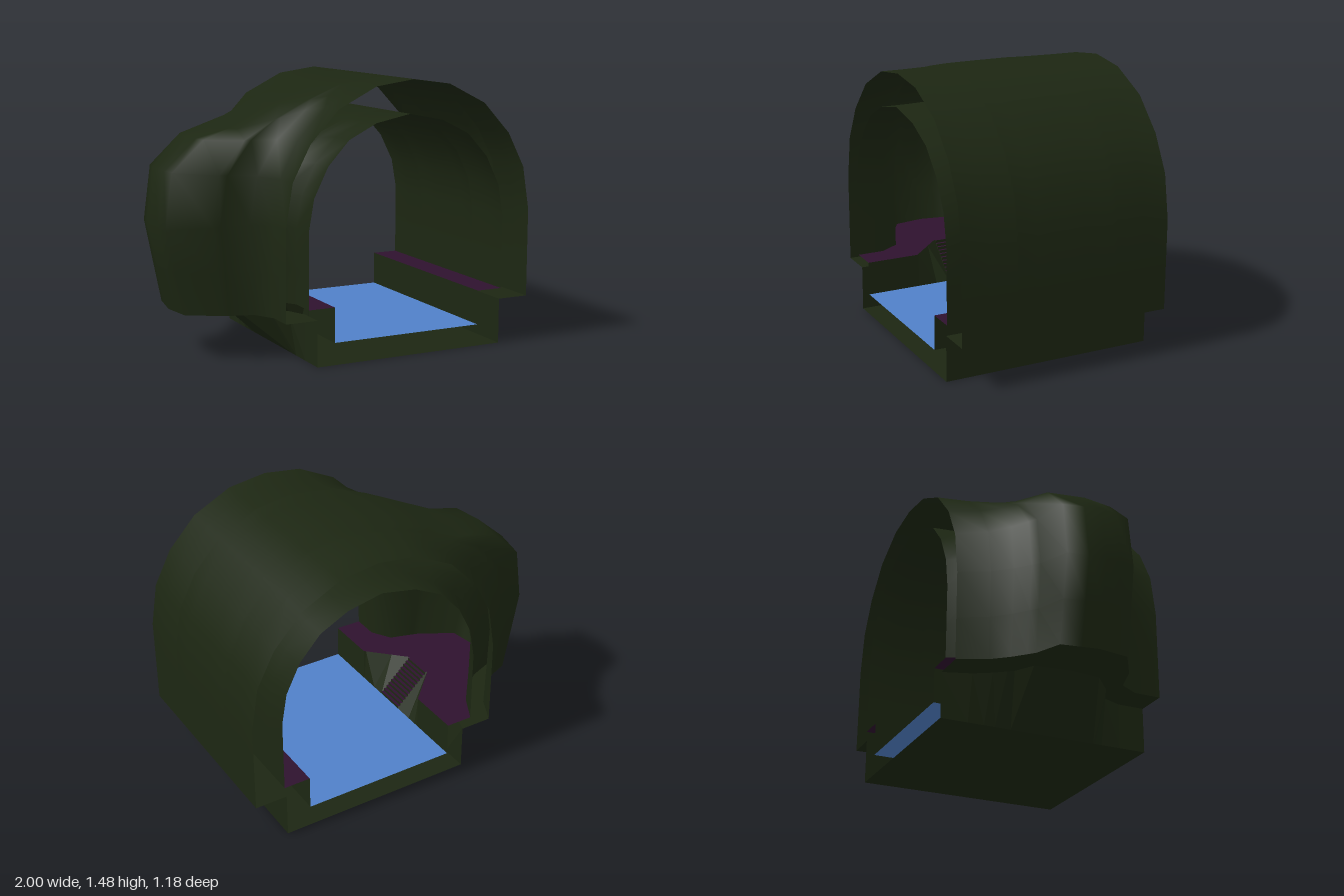
import * as THREE from 'three';

const mat = (color) => new THREE.MeshStandardMaterial({ color, side: THREE.DoubleSide });

// Alcove depth along the tunnel: [z, weight]
const BULGE = [[-0.59, 0], [-0.44, 0.17], [-0.35, 0.35], [-0.26, 0.58], [-0.2, 0.92], [0, 1],
  [0.17, 0.94], [0.28, 0.52], [0.33, 0.15], [0.44, 0], [0.59, 0]];
// How far the channel bank is cut back for the stairs
const CUT = [[-0.59, 0], [-0.29, 0], [-0.09, 1], [0.09, 1], [0.29, 0], [0.59, 0]];
const STATIONS = [...new Set([...BULGE, ...CUT].map((p) => p[0]))].sort((a, b) => a - b);

// Half profiles from wall foot to crown: plain tunnel, and at the alcove centre
const OUTER = {
  centre: 0.26,
  plain: [[-0.48, 0.25], [-0.48, 0.48], [-0.48, 0.74], [-0.44, 0.98], [-0.34, 1.17],
    [-0.18, 1.34], [-0.07, 1.395], [0.04, 1.45], [0.26, 1.48]],
  alcove: [[-0.9, 0.25], [-0.95, 0.48], [-1, 0.71], [-0.96, 1.01], [-0.78, 1.17],
    [-0.59, 1.21], [-0.33, 1.34], [-0.05, 1.44], [0.26, 1.48]],
};
const INNER = {
  centre: 0.24,
  plain: [[-0.35, 0.31], [-0.35, 0.5], [-0.35, 0.72], [-0.32, 0.89], [-0.24, 1.05],
    [-0.12, 1.18], [0.04, 1.26], [0.24, 1.3]],
  alcove: [[-0.8, 0.31], [-0.85, 0.5], [-0.87, 0.71], [-0.82, 0.9], [-0.68, 1.03],
    [-0.37, 1.11], [-0.02, 1.26], [0.24, 1.3]],
};

const lerp = THREE.MathUtils.lerp;

// Piecewise linear lookup in a [z, value] table
function sample(table, z) {
  const i = Math.max(1, table.findIndex((p) => p[0] >= z));
  const [z0, v0] = table[i - 1];
  const [z1, v1] = table[i];
  return lerp(v0, v1, (z - z0) / (z1 - z0));
}

// Full arch at z, left foot over the crown to the right foot
function arch({ centre, plain, alcove }, z) {
  const w = sample(BULGE, z);
  const left = plain.map((p, i) => [lerp(p[0], alcove[i][0], w), lerp(p[1], alcove[i][1], w)]);
  const right = plain.slice(0, -1).reverse().map(([x, y]) => [2 * centre - x, y]);
  return [...left, ...right];
}

// Skin an open profile, given as a function of z, along the stations
function loft(name, material, profile, { flat = false, stations = STATIONS } = {}) {
  const position = [];
  const index = [];
  let n = 0;
  for (const z of stations) {
    const points = profile(z);
    n = points.length;
    for (const [x, y] of points) position.push(x, y, z);
  }
  for (let i = 0; i < stations.length - 1; i++) {
    for (let j = 0; j < n - 1; j++) {
      const a = i * n + j;
      index.push(a, a + n, a + 1, a + 1, a + n, a + n + 1);
    }
  }
  let geometry = new THREE.BufferGeometry();
  geometry.setAttribute('position', new THREE.Float32BufferAttribute(position, 3));
  geometry.setIndex(index);
  if (flat) geometry = geometry.toNonIndexed();
  geometry.computeVertexNormals();
  const mesh = new THREE.Mesh(geometry, material);
  mesh.name = name;
  return mesh;
}

export function createModel() {
  const model = new THREE.Group();
  model.name = 'tunnelSection';
  const stone = mat(0x1c2612);
  const paving = mat(0x2e122e);
  const water = mat(0x5080c8);
  const flat = { flat: true };

  // Outer and inner vaults, open at both ends
  model.add(loft('outerVault', stone, (z) => arch(OUTER, z)));
  model.add(loft('innerVault', stone, (z) => arch(INNER, z).reverse()));

  // Stepped underside, sloping out beneath the alcove
  model.add(loft('outerBase', stone, (z) => {
    const w = sample(BULGE, z);
    return [[1, 0.25], [0.82, 0.25], [0.82, 0], [-0.3, 0],
      [lerp(-0.3, -0.6, w), 0.25], [lerp(-0.48, -0.9, w), 0.25]];
  }, flat));

  // Walkways either side of the channel
  const bankEdge = (z) => lerp(-0.2, -0.4, sample(CUT, z));
  model.add(loft('alcoveWalkway', paving, (z) => [[arch(INNER, z)[0][0], 0.31], [bankEdge(z), 0.31]], flat));
  model.add(loft('sideWalkway', paving, () => [[0.68, 0.31], [0.83, 0.31]], flat));

  // Channel banks and water
  model.add(loft('alcoveBank', stone, (z) => [[bankEdge(z), 0.31], [-0.2, 0.12]], flat));
  model.add(loft('sideBank', stone, () => [[0.68, 0.12], [0.68, 0.31]], flat));
  model.add(loft('water', water, () => [[-0.2, 0.12], [0.68, 0.12]], flat));

  // Narrow stairs from the alcove down to the water
  const stairs = new THREE.Group();
  stairs.name = 'stairs';
  const steps = 12;
  const run = 0.2 / steps;
  const rise = 0.19 / steps;
  const narrow = { flat: true, stations: [-0.09, 0.09] };
  for (let i = 0; i < steps; i++) {
    const x = -0.4 + i * run;
    const y = 0.31 - i * rise;
    stairs.add(loft('tread', paving, () => [[x, y], [x + run, y]], narrow));
    stairs.add(loft('riser', stone, () => [[x + run, y], [x + run, y - rise]], narrow));
  }
  model.add(stairs);
  return model;
}
